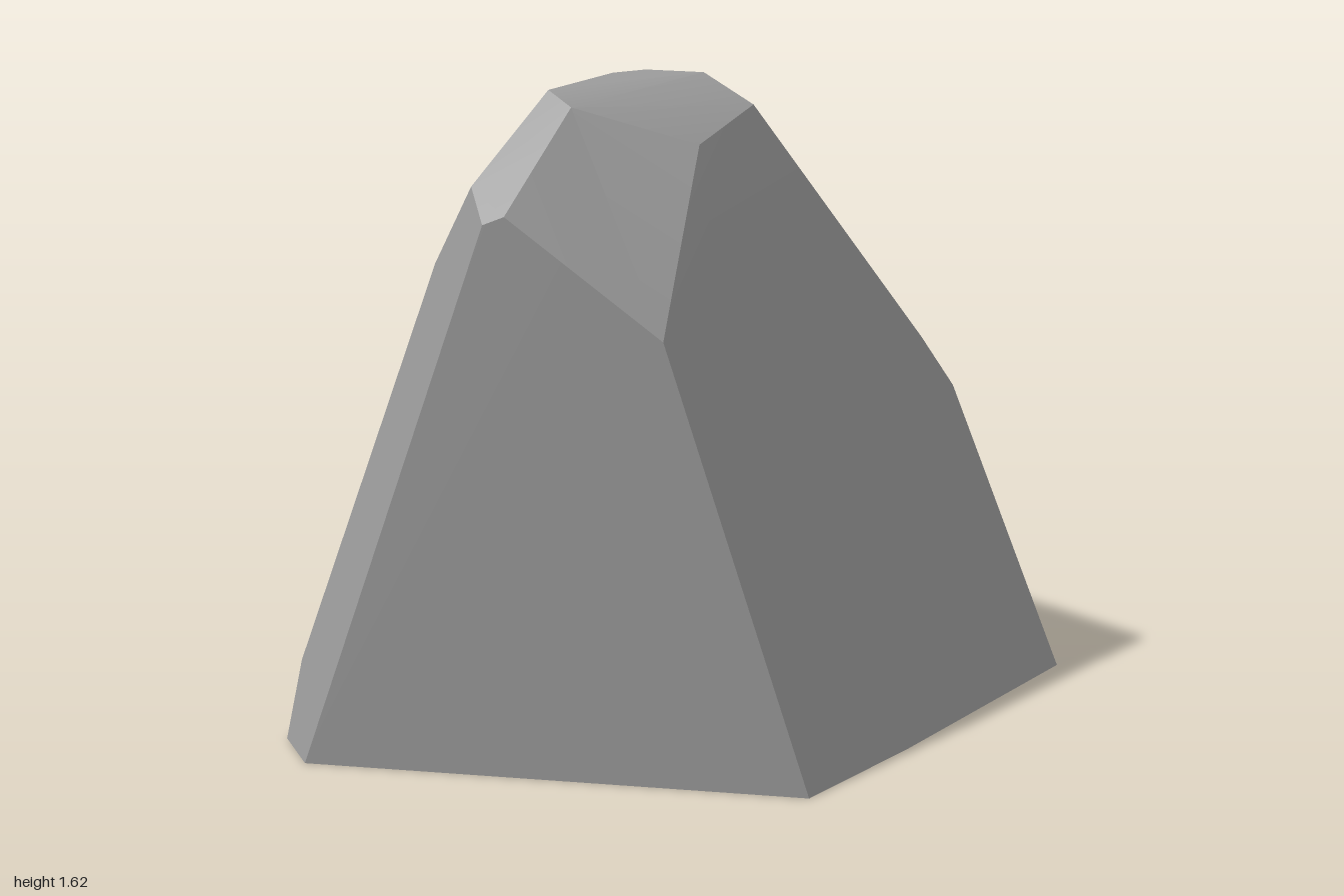
import * as THREE from 'three';
import { toCreasedNormals } from 'three/addons/utils/BufferGeometryUtils.js';
import { ConvexGeometry } from 'three/addons/geometries/ConvexGeometry.js';

// Corners of the boulder, grouped by where they sit
const base = [
  [1, 0, 0.1], [0.9, 0, -0.41], [0.58, 0, -0.61], [-0.23, 0, -0.63], [-0.44, 0, -0.57],
  [-0.72, 0, -0.41], [-1, 0, -0.22], [-1, 0, -0.05], [0.01, 0, 0.62], [0.36, 0, 0.45],
];
const front = [
  [-0.3, 1.08, 0.5], [-0.6, 1.35, 0.32], [-0.64, 1.33, 0.29],
  [-0.41, 1.57, 0.24], [-0.13, 1.48, 0.31], [0.05, 1.55, 0.21],
];
const crown = [
  [-0.04, 1.62, 0.13], [-0.43, 1.6, 0.15], [-0.09, 1.605, -0.1], [-0.17, 1.6, -0.11],
  [-0.02, 1.45, -0.29], [-0.12, 1.45, -0.32],
];
const sides = [
  [-0.63, 1.4, 0.19], [-0.68, 1.21, 0.07], [-0.95, 0.19, -0.24],
  [0.66, 0.8, 0.1], [0.55, 0.94, 0.13], [0.62, 0.7, -0.32], [0.23, 1.11, -0.39],
];
const back = [
  [-0.15, 1.33, -0.39], [-0.1, 1.24, -0.41], [0.23, 1.03, -0.45],
  [-0.55, 0.63, -0.41], [-0.84, 0.26, -0.31],
];

// Convex shell with its underside left open
function openShell(points) {
  const hull = new ConvexGeometry(points.map((p) => new THREE.Vector3(...p)));
  const pos = hull.getAttribute('position');
  const kept = [];
  for (let i = 0; i < pos.count; i += 3) {
    const corners = [i, i + 1, i + 2];
    if (corners.every((c) => pos.getY(c) < 0.001)) continue;
    for (const c of corners) kept.push(pos.getX(c), pos.getY(c), pos.getZ(c));
  }
  const shell = new THREE.BufferGeometry();
  shell.setAttribute('position', new THREE.Float32BufferAttribute(kept, 3));
  return toCreasedNormals(shell, THREE.MathUtils.degToRad(25));
}

export function createModel() {
  const stone = new THREE.MeshStandardMaterial({ color: 0x999999, side: THREE.DoubleSide });
  stone.name = 'stoneGrey';

  const boulder = new THREE.Mesh(openShell([...base, ...front, ...crown, ...sides, ...back]), stone);
  boulder.name = 'boulder';

  const model = new THREE.Group();
  model.name = 'rock';
  model.add(boulder);
  return model;
}
